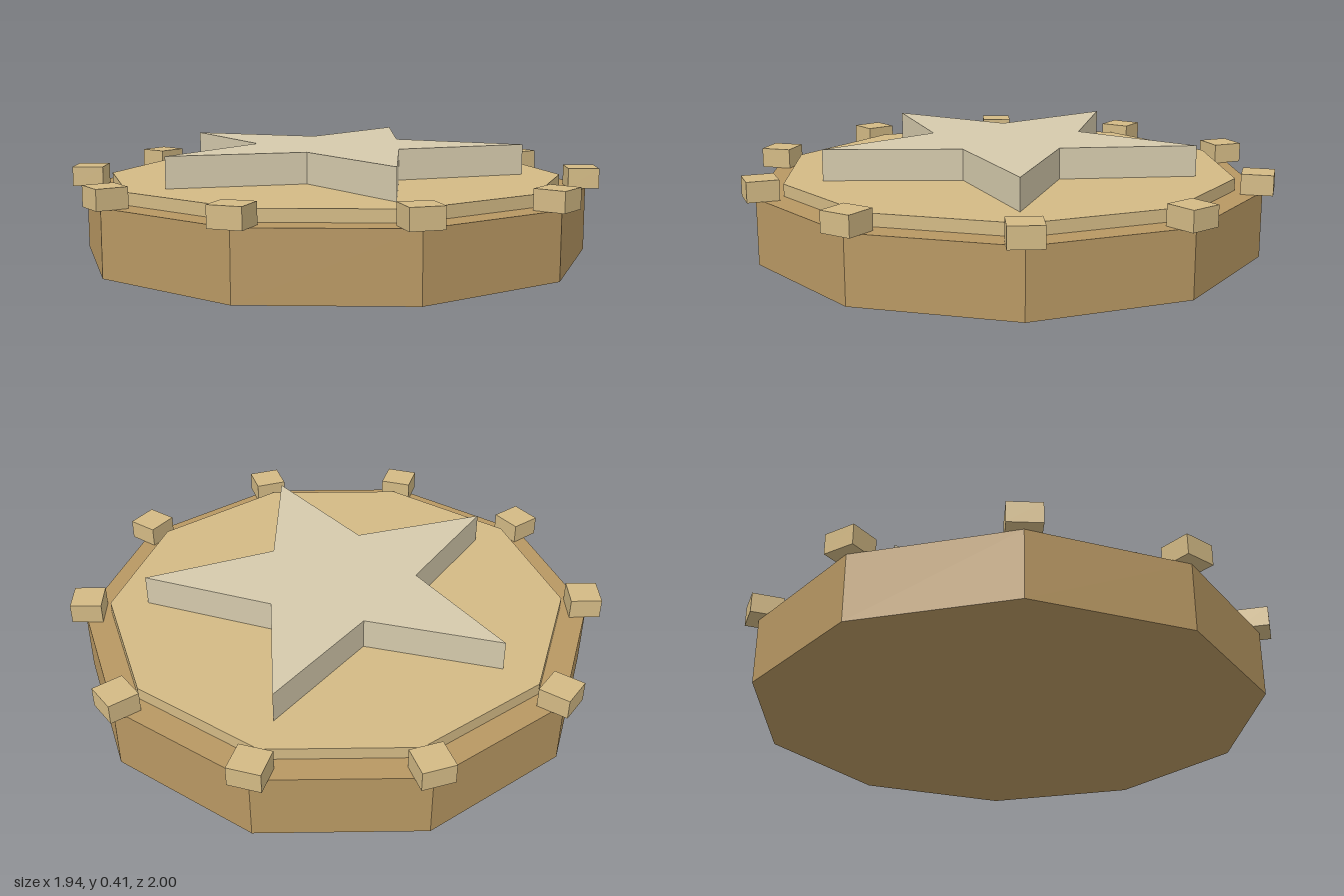
import * as THREE from 'three';

const material = (name, color) => {
  const m = new THREE.MeshStandardMaterial({ color, flatShading: true });
  m.name = name;
  return m;
};

export function createModel() {
  const model = new THREE.Group();
  const brown = material('brown', 0xb89863);
  const tan = material('tan', 0xd3ba85);
  const pale = material('paleStone', 0xd5caac);

  const SIDES = 10;
  const BASE_TOP = 0.245, PLATE_TOP = 0.29, STUD_TOP = 0.32, STAR_TOP = 0.405;

  const add = (name, geometry, mat, parent = model) => {
    const mesh = new THREE.Mesh(geometry, mat);
    mesh.name = name;
    parent.add(mesh);
    return mesh;
  };

  // Ten-sided base and the smaller plate on top of it
  const slab = (name, radius, bottom, top, mat) => {
    const g = new THREE.CylinderGeometry(radius, radius, top - bottom, SIDES);
    add(name, g, mat).position.y = (top + bottom) / 2;
  };
  slab('base', 0.96, 0, BASE_TOP, brown);
  slab('topPlate', 0.86, BASE_TOP, PLATE_TOP, tan);

  // Block on every corner of the rim, facing outward
  const studs = new THREE.Group();
  studs.name = 'rimStuds';
  model.add(studs);
  const studGeometry = new THREE.BoxGeometry(0.12, STUD_TOP - BASE_TOP, 0.116);
  for (let i = 0; i < SIDES; i++) {
    const a = (i / SIDES) * Math.PI * 2;
    const stud = add('rimStud', studGeometry, tan, studs);
    stud.position.set(Math.sin(a) * 0.942, (BASE_TOP + STUD_TOP) / 2, Math.cos(a) * 0.942);
    stud.rotation.y = a;
  }

  // Raised five-pointed star, one tip toward the back
  const points = [];
  for (let i = 0; i < 10; i++) {
    const a = Math.PI / 2 + (i * Math.PI) / 5;
    const r = i % 2 ? 0.298 : 0.717;
    points.push(new THREE.Vector2(Math.cos(a) * r, Math.sin(a) * r));
  }
  const starGeometry = new THREE.ExtrudeGeometry(new THREE.Shape(points), {
    depth: STAR_TOP - PLATE_TOP,
    bevelEnabled: false,
  });
  starGeometry.rotateX(-Math.PI / 2);
  add('star', starGeometry, pale).position.y = PLATE_TOP;

  return model;
}
